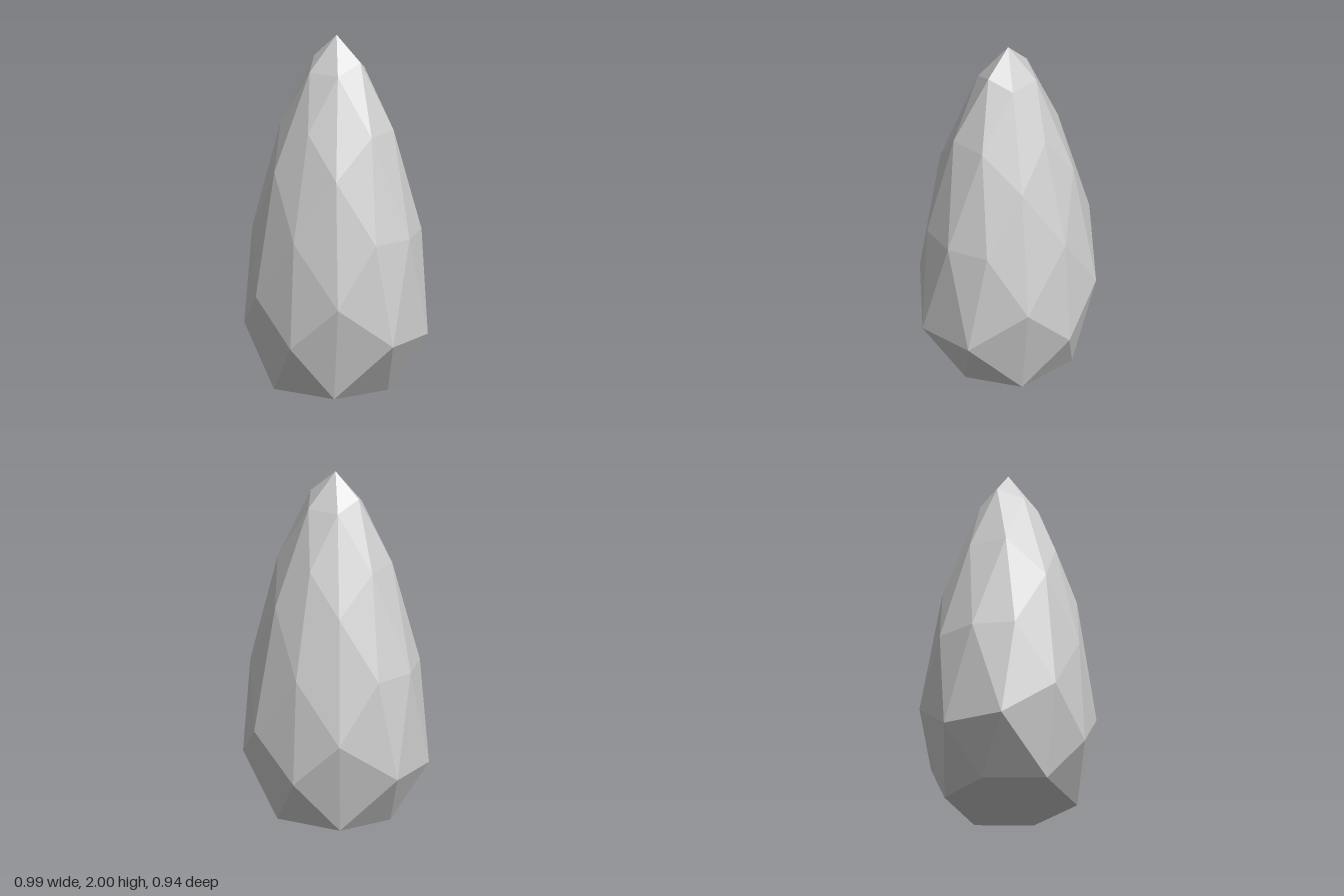
import * as THREE from 'three';

// One row per height of the unit sphere's vertices:
// sphere y, final y, x scale (-x side, +x side), z scale (back, front)
const LEVELS = [
  [1.0, 2.0, 0, 0, 0, 0],
  [0.851, 1.86, 0.285, 0.304, 0.27, 0.27],
  [0.809, 1.8, 0.29, 0.32, 0.262, 0.275],
  [0.526, 1.49, 0.36, 0.38, 0.337, 0.341],
  [0.5, 1.475, 0.365, 0.388, 0.325, 0.39],
  [0.309, 1.25, 0.405, 0.42, 0.383, 0.4],
  [0, 0.89, 0.483, 0.486, 0.442, 0.435],
  [-0.309, 0.54, 0.535, 0.56, 0.522, 0.51],
  [-0.5, 0.31, 0.612, 0.615, 0.545, 0.595],
  [-0.526, 0.288, 0.6, 0.6, 0.557, 0.552],
  [-0.809, 0, 0.65, 0.65, 0.6, 0.66],
  [-0.851, 0, 0.67, 0.65, 0.6, 0.6],
  [-1, 0, 0, 0, 0, 0],
];

export function createModel() {
  const group = new THREE.Group();
  group.name = 'pointedStone';

  const stone = new THREE.MeshStandardMaterial({ color: 0xd0d0d0 });
  stone.name = 'pale grey stone';

  // Faceted sphere stretched to a point, tapered, and cut flat at the base
  const geometry = new THREE.IcosahedronGeometry(1, 1);
  const p = geometry.attributes.position;
  for (let i = 0; i < p.count; i++) {
    const x = p.getX(i), z = p.getZ(i);
    const row = LEVELS.find((l) => Math.abs(l[0] - p.getY(i)) < 0.01);
    const [, y, minusX, plusX, back, front] = row;
    p.setXYZ(i, x * (x < 0 ? minusX : plusX), y, z * (z < 0 ? back : front));
  }
  // Unshared corners give one flat normal per facet
  geometry.computeVertexNormals();

  const body = new THREE.Mesh(geometry, stone);
  body.name = 'stoneBody';
  group.add(body);
  return group;
}
